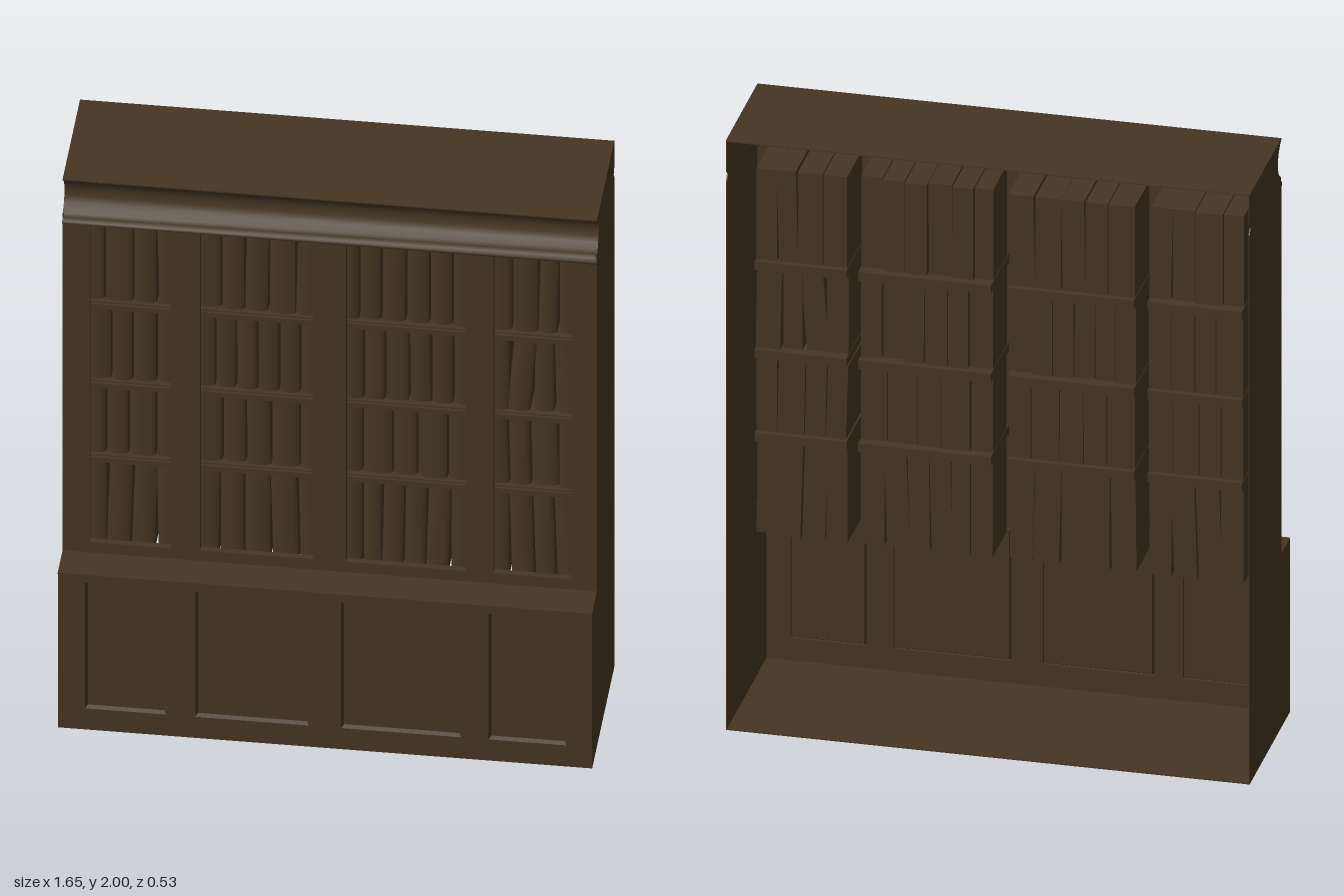
import * as THREE from 'three';

const W = 0.824, BACK = -0.265, FRONT = 0.15, BASE = 0.263, STEP = 0.59;
// openings shared by the shelves and the base panels: [x0, x1]
const COLS = [[-0.74, -0.49], [-0.4, -0.05], [0.05, 0.42], [0.505, 0.745]];

// cornice moulding, bottom to top, as [z, y]
const CORNICE = [
  [0.15, 1.832], [0.158, 1.838], [0.159, 1.848], [0.146, 1.854], [0.146, 1.87],
  [0.132, 1.878], [0.116, 1.892], [0.107, 1.91], [0.104, 1.932], [0.108, 1.95],
  [0.118, 1.968], [0.132, 1.984], [0.15, 1.996], [0.15, 2],
];

const rect = (Type, x0, y0, x1, y1) =>
  new Type([[x0, y0], [x1, y0], [x1, y1], [x0, y1]].map((p) => new THREE.Vector2(...p)));

// board with rectangular holes, front face at zFront
function frameGeometry(x0, y0, x1, y1, holes, depth, zFront) {
  const shape = rect(THREE.Shape, x0, y0, x1, y1);
  holes.forEach((h) => shape.holes.push(rect(THREE.Path, ...h)));
  return new THREE.ExtrudeGeometry(shape, { depth, bevelEnabled: false }).translate(0, 0, zFront - depth);
}

// sunk panel with sloping edges
function panelGeometry(x0, y0, x1, y1, zOut, zIn, slope) {
  const s = slope;
  const pos = [
    x0, y0, zOut, x1, y0, zOut, x1, y1, zOut, x0, y1, zOut,
    x0 + s, y0 + s, zIn, x1 - s, y0 + s, zIn, x1 - s, y1 - s, zIn, x0 + s, y1 - s, zIn,
  ];
  const idx = [4, 5, 6, 4, 6, 7];
  for (let i = 0; i < 4; i++) {
    const j = (i + 1) % 4;
    idx.push(i, j, j + 4, i, j + 4, i + 4);
  }
  const g = new THREE.BufferGeometry();
  g.setAttribute('position', new THREE.Float32BufferAttribute(pos, 3));
  g.setIndex(idx);
  const flat = g.toNonIndexed();
  flat.computeVertexNormals();
  return flat;
}

// upright book with a rounded spine facing +z, origin at the middle of its foot
function bookGeometry(w, h, zBack, zFront) {
  const s = new THREE.Shape();
  const r = 0.014;
  s.moveTo(-w / 2, -zBack);
  s.lineTo(-w / 2, -zFront + r);
  for (let i = 1; i <= 8; i++) {
    const a = (i / 8) * Math.PI;
    s.lineTo((-Math.cos(a) * w) / 2, -zFront + r - Math.sin(a) * r);
  }
  s.lineTo(w / 2, -zBack);
  return new THREE.ExtrudeGeometry(s, { depth: h, bevelEnabled: false }).rotateX(-Math.PI / 2);
}

export function createModel() {
  const group = new THREE.Group();
  const wood = new THREE.MeshStandardMaterial({ color: 0x463522, side: THREE.DoubleSide });
  wood.name = 'dark wood';
  const add = (name, geometry, parent = group) => {
    const m = new THREE.Mesh(geometry, wood);
    m.name = name;
    parent.add(m);
    return m;
  };
  const box = (name, x0, x1, y0, y1, z0, z1) =>
    add(name, new THREE.BoxGeometry(x1 - x0, y1 - y0, z1 - z0)
      .translate((x0 + x1) / 2, (y0 + y1) / 2, (z0 + z1) / 2));

  // side walls following the base step, the cornice and a small notch at the back
  const outline = [
    [BACK, 0], [BASE, 0], [BASE, STEP], [FRONT, STEP], ...CORNICE,
    [BACK, 2], [BACK, 1.9], [-0.249, 1.882], [BACK, 1.862],
  ];
  const side = new THREE.Shape(outline.map(([z, y]) => new THREE.Vector2(-z, y)));
  for (const s of [-1, 1]) {
    const g = new THREE.ExtrudeGeometry(side, { depth: 0.004, bevelEnabled: false })
      .rotateY(Math.PI / 2).translate(s > 0 ? W - 0.004 : -W, 0, 0);
    add(s > 0 ? 'leftWall' : 'rightWall', g);
  }

  // top, floor and the ledge over the base
  box('top', -W, W, 1.996, 2, BACK, FRONT);
  box('floor', -W, W, 0, 0.004, BACK, BASE);
  box('ledge', -W, W, STEP - 0.006, STEP, FRONT - 0.03, BASE + 0.003);

  // cornice: smooth sheet swept across the width
  const rows = CORNICE.length - 1;
  const cornice = new THREE.PlaneGeometry(2 * W, 1, 1, rows);
  const p = cornice.attributes.position;
  for (let i = 0; i < p.count; i++) {
    const [z, y] = CORNICE[rows - Math.floor(i / 2)];
    p.setXYZ(i, p.getX(i), y, z);
  }
  cornice.computeVertexNormals();
  add('cornice', cornice);

  // face frame around the shelves, and the base front with sunk panels
  add('faceFrame', frameGeometry(-W, STEP, W, 1.84, COLS.map(([a, b]) => [a, 0.63, b, 1.832]), 0.02, FRONT));
  add('baseFront', frameGeometry(-W, 0, W, STEP - 0.006, COLS.map(([a, b]) => [a, 0.08, b, 0.557]), 0.012, BASE));
  COLS.forEach(([a, b]) => add('basePanel', panelGeometry(a, 0.08, b, 0.557, BASE, BASE - 0.012, 0.007)));

  // shelves, one per bay
  const shelfTops = [1.527, 1.227, 0.945];
  for (const y of shelfTops)
    for (const [a, b] of COLS) {
      box('shelf', a - 0.024, b + 0.024, y - 0.03, y, -0.115, 0.122);
      box('shelfLip', a, b, y - 0.024, y - 0.006, 0.122, 0.13);
    }

  // books: per row [foot, head] and per bay [count, uneven backs, lean of each book]
  let seed = 7;
  const rand = () => (seed = (seed * 16807) % 2147483647) / 2147483647;
  const shelvesOfBooks = [
    { y: [1.527, 1.838], bays: [[4, 1, [0, 0, 0, 0.02]], [5, 0, [0, 0, -0.015, 0, -0.02]], [6, 1, [0, 0, -0.01]], [4, 0, [0, 0, -0.025, 0]]] },
    { y: [1.227, 1.497], bays: [[4, 0, []], [6, 1, [0, 0, 0.01]], [6, 1, [0, 0, 0, 0.01]], [4, 1, [0, -0.08, 0, 0.02]]] },
    { y: [0.945, 1.197], bays: [[4, 0, []], [5, 0, [0, 0, 0.01]], [5, 1, []], [4, 0, [0.03, 0.02, 0.02, 0]]] },
    { y: [0.592, 0.915], bays: [[4, 1, [0, -0.03, -0.03, 0.01]], [5, 1, [-0.01, 0, 0, 0.025, 0.02]], [6, 1, [0, 0, -0.02, -0.015, -0.03]], [4, 1, [0, 0.025, 0.03, 0.03]]] },
  ];
  const books = new THREE.Group();
  books.name = 'books';
  group.add(books);
  for (const { y: [foot, head], bays } of shelvesOfBooks)
    bays.forEach(([count, uneven, leans], c) => {
      const x0 = COLS[c][0] - 0.024, x1 = COLS[c][1] + 0.024;
      const weights = Array.from({ length: count }, () => 0.85 + 0.3 * rand());
      const total = weights.reduce((s, w) => s + w, 0);
      let x = x0;
      weights.forEach((weight, i) => {
        const w = ((x1 - x0) * weight) / total;
        const lean = leans[i] || 0;
        const zBack = -0.098 + (uneven ? 0.022 * rand() : 0);
        const book = add('book', bookGeometry(w - 0.003, head - foot - 0.002, zBack, 0.105 + 0.01 * rand()), books);
        // leaning books pivot about their middle height
        book.position.set(x + w / 2 + (Math.sin(lean) * (head - foot)) / 2, foot, 0);
        book.rotation.z = lean;
        x += w;
      });
    });

  return group;
}
